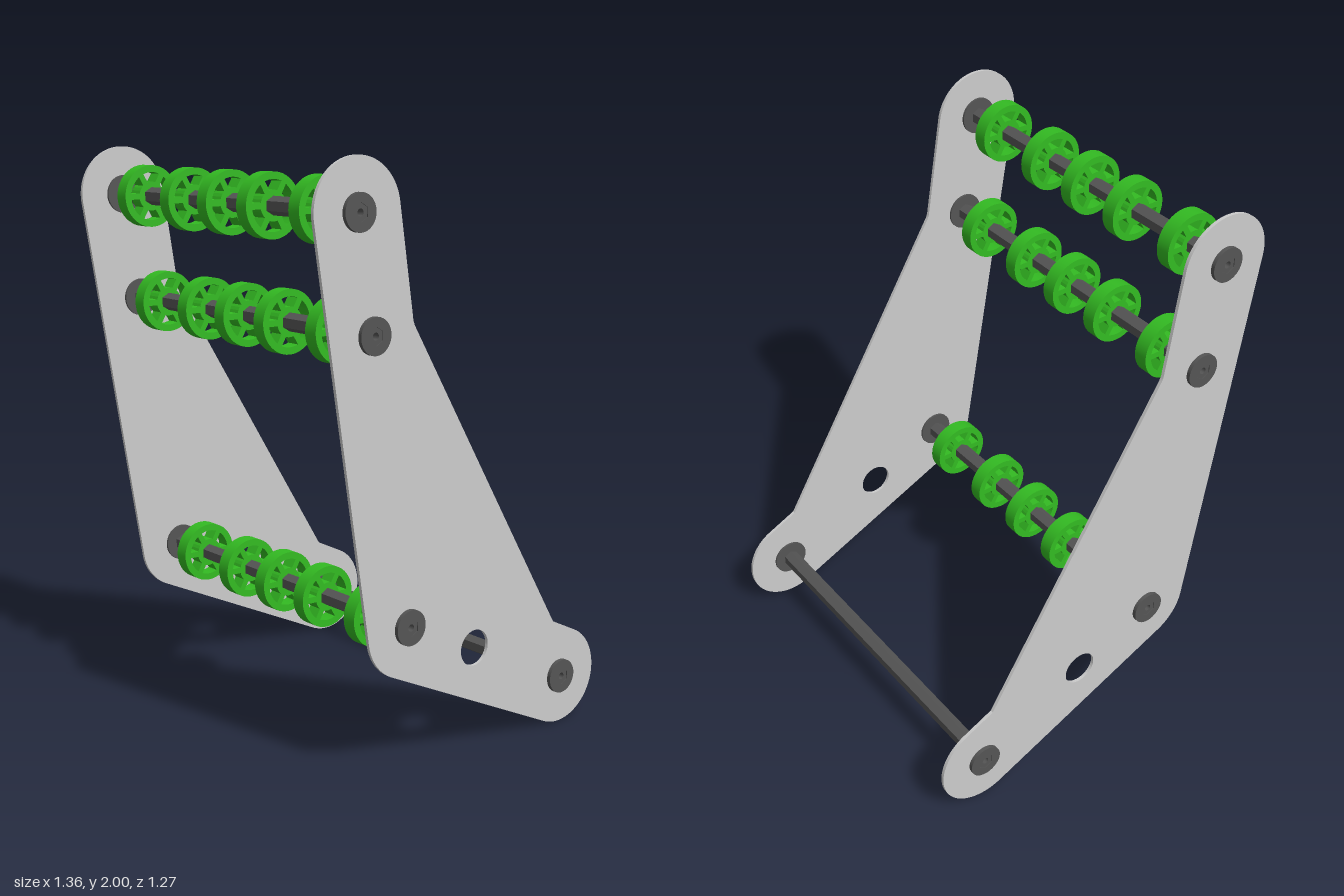
import * as THREE from 'three';
import { toCreasedNormals } from 'three/addons/utils/BufferGeometryUtils.js';

const deg = Math.PI / 180;
const plateMat = new THREE.MeshStandardMaterial({ color: 0xcccccc });
const darkMat = new THREE.MeshStandardMaterial({ color: 0x555555 });
const greenMat = new THREE.MeshStandardMaterial({ color: 0x33bb22 });

// axle centres as [z, y]
const topAxle = [0.467, 1.832], upperAxle = [0.405, 1.457], lowerAxle = [0.25, 0.5], rearAxle = [-0.463, 0.17];

const circle = (r, x = 0, y = 0) => new THREE.Path().absarc(x, y, r, 0, Math.PI * 2, true);

// extrudes a shape drawn in (z, y) along x, centred on x = 0
function extrudeX(shape, width, curveSegments = 24) {
  const g = new THREE.ExtrudeGeometry(shape, { depth: width, bevelEnabled: false, curveSegments });
  g.translate(0, 0, -width / 2).rotateY(-Math.PI / 2);
  return toCreasedNormals(g, 30 * deg);
}

function hexagon(r) {
  const pts = [];
  for (let i = 0; i < 6; i++) {
    const a = (30 + i * 60) * deg;
    pts.push(new THREE.Vector2(r * Math.cos(a), r * Math.sin(a)));
  }
  return pts;
}

// side plate: rounded ends around the axles, with clearance holes
function plateGeometry() {
  const s = new THREE.Shape();
  s.absarc(...topAxle, 0.168, -9.3 * deg, 170.7 * deg, false);
  s.lineTo(0.243, 1.49);
  s.lineTo(0.237, 1.475);
  s.lineTo(-0.425, 0.377);
  s.absarc(...rearAxle, 0.17, 115 * deg, 294.4 * deg, false);
  s.absarc(...lowerAxle, 0.17, 294.4 * deg, 350.7 * deg, false);
  s.closePath();
  s.holes.push(circle(0.062, -0.045, 0.365));
  for (const [z, y] of [topAxle, upperAxle, lowerAxle, rearAxle]) s.holes.push(circle(0.05, z, y));
  return extrudeX(s, 0.012, 32);
}

// wheel: rim, hub and spokes left between curved openings
function wheelGeometry() {
  const s = new THREE.Shape().absarc(0, 0, 0.107, 0, Math.PI * 2, false);
  s.holes.push(new THREE.Path(hexagon(0.03)));
  const count = 6;
  for (let i = 0; i < count; i++) {
    const mid = (i + 0.5) * 360 / count;
    const hole = new THREE.Path();
    hole.absarc(0, 0, 0.083, (mid - 23) * deg, (mid + 23) * deg, false);
    hole.absarc(0, 0, 0.05, (mid + 18) * deg, (mid - 18) * deg, true);
    hole.closePath();
    s.holes.push(hole);
  }
  return extrudeX(s, 0.053, 24);
}

// ring around the axle
function ringGeometry(outer, width) {
  const s = new THREE.Shape().absarc(0, 0, outer, 0, Math.PI * 2, false);
  s.holes.push(new THREE.Path(hexagon(0.03)));
  return extrudeX(s, width, 20);
}

export function createModel() {
  const model = new THREE.Group();
  model.name = 'rollerFrame';

  const add = (parent, name, geo, mat, x) => {
    const m = new THREE.Mesh(geo, mat);
    m.name = name;
    m.position.x = x;
    parent.add(m);
  };

  const plate = plateGeometry();
  add(model, 'leftSidePlate', plate, plateMat, 0.658);
  add(model, 'rightSidePlate', plate, plateMat, -0.658);

  // hollow hexagonal rod
  const rodShape = new THREE.Shape(hexagon(0.031));
  rodShape.holes.push(circle(0.012));
  const rod = extrudeX(rodShape, 1.35, 12);
  const bearing = ringGeometry(0.06, 0.026);
  const flange = ringGeometry(0.067, 0.009);
  const wheel = wheelGeometry();

  const axles = [
    ['topAxle', topAxle, true], ['upperAxle', upperAxle, true],
    ['lowerAxle', lowerAxle, true], ['rearCrossbar', rearAxle, false],
  ];
  for (const [name, [z, y], hasWheels] of axles) {
    const axle = new THREE.Group();
    axle.name = name;
    axle.position.set(0, y, z);
    add(axle, 'rod', rod, darkMat, 0);
    for (const side of [1, -1]) {
      add(axle, 'bearing', bearing, darkMat, side * 0.665);
      add(axle, 'bearingFlange', flange, darkMat, side * 0.6485);
    }
    if (hasWheels) for (const x of [-0.49, -0.22, 0, 0.22, 0.49]) add(axle, 'wheel', wheel, greenMat, x);
    model.add(axle);
  }
  return model;
}
